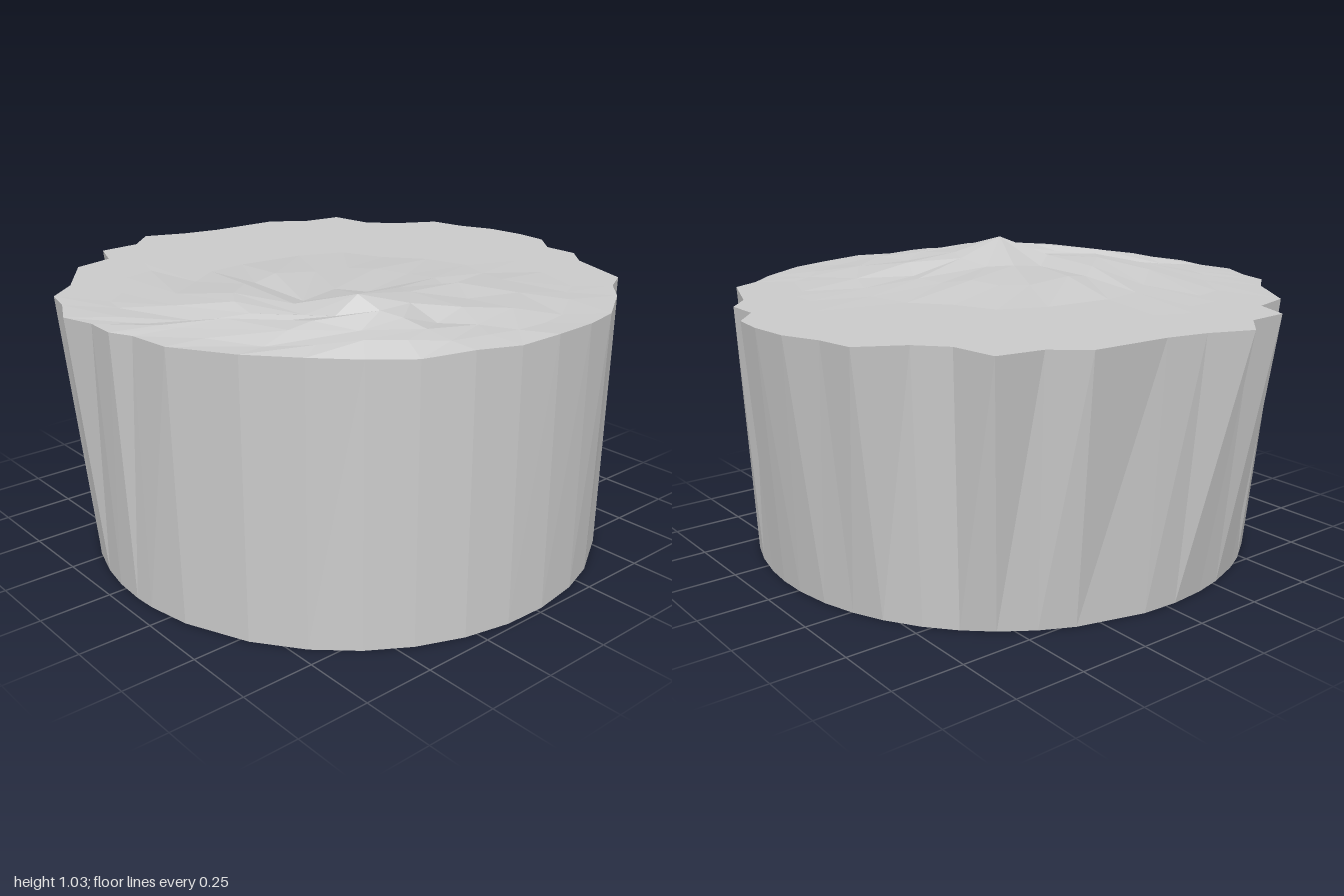
import * as THREE from 'three';

// Top edge outline as x, z pairs, clockwise seen from above
const OUTLINE = [
  -0.02, -1.0, 0.1, -0.99, 0.2, -0.905, 0.33, -0.905, 0.42, -0.825,
  0.665, -0.735, 0.72, -0.63, 0.81, -0.535, 0.93, -0.345, 0.965, -0.2,
  0.985, -0.025, 0.975, 0.13, 0.94, 0.29, 0.875, 0.445, 0.79, 0.58,
  0.68, 0.705, 0.535, 0.83, 0.32, 0.935, 0.16, 0.945, 0.08, 0.98,
  -0.04, 0.97, -0.165, 1.0, -0.295, 0.935, -0.41, 0.905, -0.5, 0.795,
  -0.71, 0.65, -0.75, 0.5, -0.88, 0.45, -0.89, 0.295, -0.99, 0.19,
  -0.93, 0.04, -0.9, -0.1, -0.885, -0.375, -0.795, -0.485, -0.77, -0.645,
  -0.605, -0.67, -0.51, -0.755, -0.425, -0.905, -0.295, -0.93, -0.165, -0.985,
];
const COUNT = OUTLINE.length / 2;
const TOP = 0.92;
const PEAK = { x: 0.52, z: 0.37 };
const BASE = { x: 0.07, z: 0.025, r: 0.915 };

const material = new THREE.MeshStandardMaterial({
  color: 0xcccccc, flatShading: true, side: THREE.DoubleSide,
});

const hash = (x, z) => {
  const s = Math.sin(x * 127.1 + z * 311.7) * 43758.5453;
  return s - Math.floor(s);
};

// Rough mound fading out to a flat plateau
function groundHeight(x, z, f) {
  const d = Math.hypot(x - PEAK.x, z - PEAK.z);
  const mound = Math.max(0, 1 - d / 0.9);
  const edge = 0.35 + 0.65 * Math.min(1, (1 - f) * 3);
  const rough = (hash(x, z) - 0.4) * 0.045 * Math.min(1, mound * 2);
  const tip = 0.05 * Math.max(0, 1 - d / 0.12);
  return TOP + Math.max(0, (0.045 * Math.min(1, mound * 1.3) + rough) * edge) + tip;
}

// Ring of n points, f of the way from the peak to the outline
function groundRing(f, n) {
  return Array.from({ length: n }, (_, i) => {
    const k = Math.floor((i * COUNT) / n);
    const x = PEAK.x + (OUTLINE[2 * k] - PEAK.x) * f;
    const z = PEAK.z + (OUTLINE[2 * k + 1] - PEAK.z) * f;
    return [x, groundHeight(x, z, f), z];
  });
}

// Joins closed ring a to ring b, which may have fewer points
function stitch(a, b, out) {
  for (let i = 0; i < a.length; i++) {
    const a0 = a[i], a1 = a[(i + 1) % a.length];
    const j = Math.floor((i * b.length) / a.length);
    const k = Math.floor(((i + 1) * b.length) / a.length) % b.length;
    out.push(...a1, ...a0, ...b[j]);
    if (j !== k) out.push(...a1, ...b[j], ...b[k]);
  }
}

function ringMesh(name, rings) {
  const positions = [];
  for (let i = 0; i + 1 < rings.length; i++) stitch(rings[i], rings[i + 1], positions);
  const geometry = new THREE.BufferGeometry();
  geometry.setAttribute('position', new THREE.Float32BufferAttribute(positions, 3));
  geometry.computeVertexNormals();
  const mesh = new THREE.Mesh(geometry, material);
  mesh.name = name;
  return mesh;
}

export function createModel() {
  const group = new THREE.Group();
  group.name = 'rockyPlateau';

  // Uneven ground: rings thinning out towards the peak
  const rings = [[1, 40], [0.8, 40], [0.6, 20], [0.4, 20], [0.2, 10], [0, 1]]
    .map(([f, n]) => groundRing(f, n));
  group.add(ringMesh('ground', rings));

  // Cliff wall: round foot up to the jagged edge, open underneath
  const foot = rings[0].map(([x, , z]) => {
    const angle = Math.atan2(z - BASE.z, x - BASE.x);
    return [BASE.x + BASE.r * Math.cos(angle), 0, BASE.z + BASE.r * Math.sin(angle)];
  });
  group.add(ringMesh('cliffWall', [foot, rings[0]]));

  return group;
}
